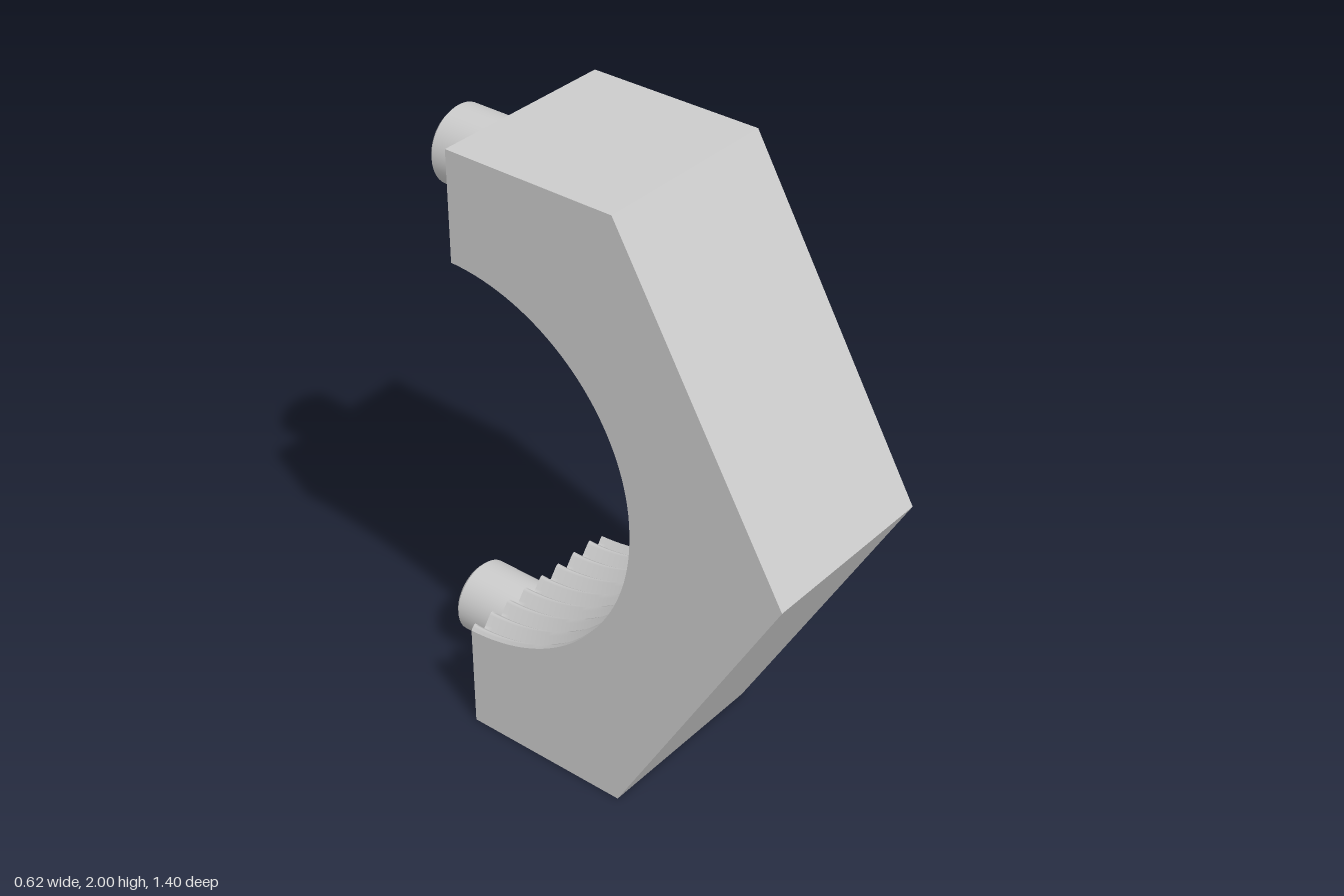
import * as THREE from 'three';
import { mergeGeometries } from 'three/addons/utils/BufferGeometryUtils.js';
import { ParametricGeometry } from 'three/addons/geometries/ParametricGeometry.js';

const HALF_WIDTH = 0.31, BACK_Z = -0.45, AXIS_Y = 1;
const MINOR = 0.627, MAJOR = 0.667, PITCH = 0.0775;
const ARC_STEPS = 72, AXIAL_STEPS = 96;

// Half hexagon as [z, y], from bottom back round the front to top back
const outline = [[BACK_Z, 0], [0.125, 0], [0.7, 1], [0.125, 2], [BACK_Z, 2]];

// Bore radius: helical thread with flattened crests and roots
function boreRadius(x, theta) {
  const turn = (x - HALF_WIDTH) / PITCH - theta / (2 * Math.PI) - 0.2;
  const distance = Math.abs(turn - Math.round(turn)); // 0 at root, 0.5 at crest
  const wave = THREE.MathUtils.clamp((1 - 4 * distance) * 1.25, -1, 1);
  return (MINOR + MAJOR) / 2 + wave * (MAJOR - MINOR) / 2;
}

// Theta runs from the top (0) round the front to the bottom (PI)
function borePoint(x, theta, target = new THREE.Vector3()) {
  const r = boreRadius(x, theta);
  return target.set(x, AXIS_Y + r * Math.cos(theta), BACK_Z + r * Math.sin(theta));
}

// Flat hexagonal side with the bore cut out; side is +1 or -1 in x
function sideFace(side) {
  const points = outline.map(([z, y]) => new THREE.Vector2(-side * z, y));
  for (let i = 0; i <= ARC_STEPS; i++) {
    const p = borePoint(side * HALF_WIDTH, Math.PI * i / ARC_STEPS);
    points.push(new THREE.Vector2(-side * p.z, p.y));
  }
  return new THREE.ShapeGeometry(new THREE.Shape(points))
    .rotateY(side * Math.PI / 2).translate(side * HALF_WIDTH, 0, 0);
}

// Mating face at the back, edged by the thread profile
function matingFace(outerY, theta) {
  const points = [new THREE.Vector2(HALF_WIDTH, outerY), new THREE.Vector2(-HALF_WIDTH, outerY)];
  for (let i = 0; i <= AXIAL_STEPS; i++) {
    const x = HALF_WIDTH * (1 - 2 * i / AXIAL_STEPS);
    points.push(new THREE.Vector2(-x, borePoint(x, theta).y));
  }
  return new THREE.ShapeGeometry(new THREE.Shape(points))
    .rotateY(Math.PI).translate(0, 0, BACK_Z);
}

// Outer flat between two outline corners
function outerFlat([z0, y0], [z1, y1]) {
  return new THREE.PlaneGeometry(2 * HALF_WIDTH, Math.hypot(z1 - z0, y1 - y0))
    .rotateX(Math.atan2(z1 - z0, y1 - y0))
    .translate(0, (y0 + y1) / 2, (z0 + z1) / 2);
}

// Dowel pin with a small chamfer, pointing backwards
function pinGeometry() {
  const r = 0.122, length = 0.25, c = 0.012;
  const barrel = new THREE.CylinderGeometry(r, r, length - c, 48, 1, true)
    .translate(0, (length - c) / 2, 0);
  const chamfer = new THREE.CylinderGeometry(r - c, r, c, 48, 1, true)
    .translate(0, length - c / 2, 0);
  const end = new THREE.CircleGeometry(r - c, 48).rotateX(-Math.PI / 2).translate(0, length, 0);
  return mergeGeometries([barrel, chamfer, end]).rotateX(-Math.PI / 2);
}

export function createModel() {
  const group = new THREE.Group();
  group.name = 'splitNutHalf';
  const material = new THREE.MeshStandardMaterial({ color: 0xcccccc });
  const add = (name, geometry) => {
    const mesh = new THREE.Mesh(geometry, material);
    mesh.name = name;
    group.add(mesh);
    return mesh;
  };

  // Hexagonal half body
  const flats = outline.slice(1).map((corner, i) => outerFlat(outline[i], corner));
  add('hexBody', mergeGeometries([
    ...flats, sideFace(1), sideFace(-1), matingFace(2, 0), matingFace(0, Math.PI),
  ]));

  // Threaded bore
  add('threadedBore', new ParametricGeometry(
    (u, v, target) => borePoint(HALF_WIDTH * (2 * u - 1), Math.PI * v, target),
    AXIAL_STEPS, ARC_STEPS));

  // Dowel pins on the mating faces
  const pin = pinGeometry();
  add('upperPin', pin).position.set(0, 1.815, BACK_Z);
  add('lowerPin', pin).position.set(0, 0.19, BACK_Z);

  return group;
}
